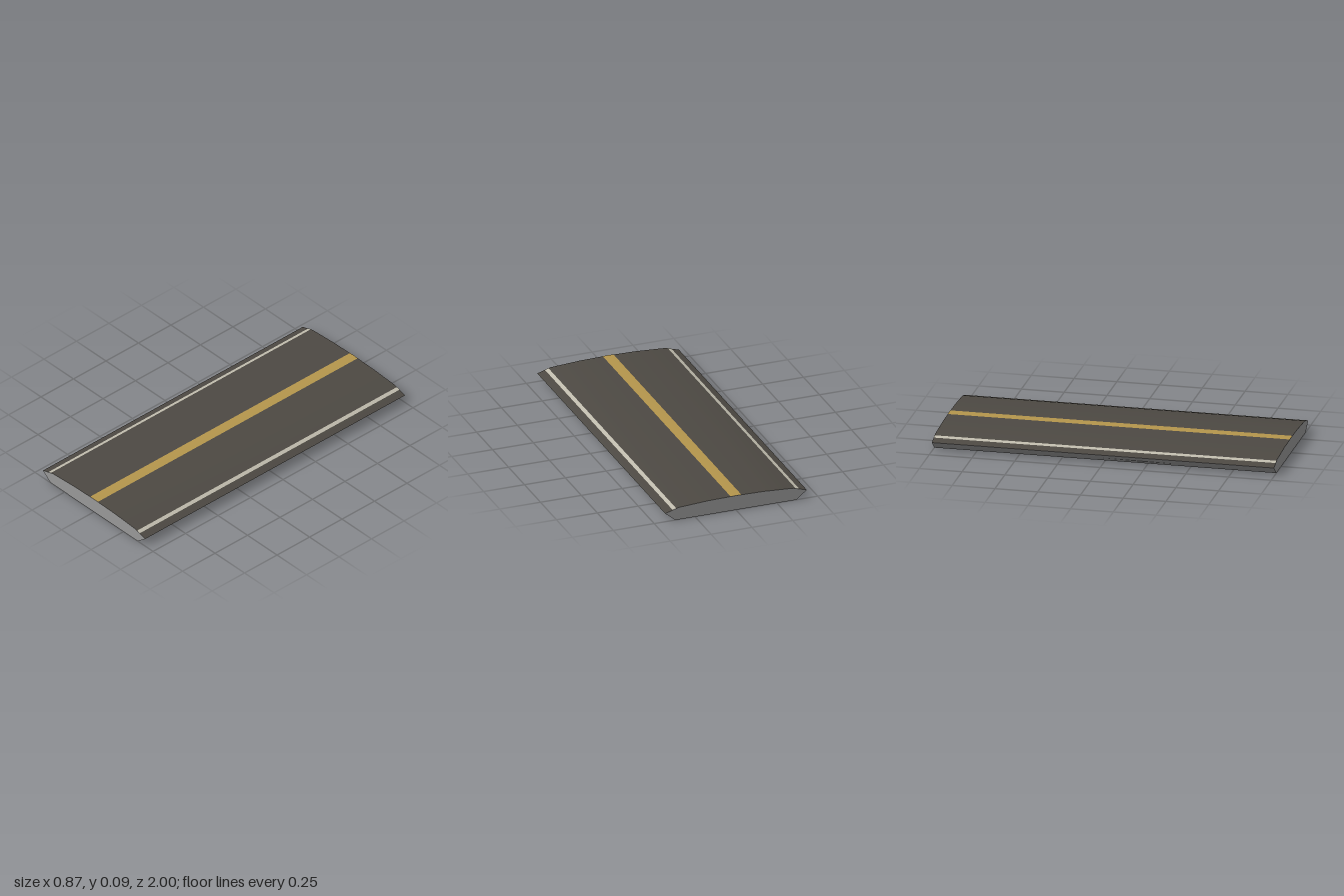
import * as THREE from 'three';

const HALF = 1; // half the road length

// Cambered road surface, left to right
const crown = [
  [-0.433, 0.051], [-0.35, 0.076], [-0.17, 0.087], [0, 0.09],
  [0.17, 0.087], [0.35, 0.076], [0.433, 0.051],
];
// Sloping sides and underside, right to left
const under = [[0.433, 0.051], [0.37, 0], [-0.37, 0], [-0.433, 0.051]];

const paint = (name, color) => {
  const m = new THREE.MeshStandardMaterial({ color });
  m.name = name;
  return m;
};

// Height of the road surface at x
function crownHeight(x) {
  const i = Math.max(1, crown.findIndex((p) => p[0] >= x));
  const [a, b] = [crown[i - 1], crown[i]];
  return a[1] + ((x - a[0]) / (b[0] - a[0])) * (b[1] - a[1]);
}

// Sweeps an open profile along z with smooth normals
function sweep(profile) {
  const pos = [], index = [];
  profile.forEach(([x, y], i) => {
    pos.push(x, y, HALF, x, y, -HALF);
    if (i === 0) return;
    const a = 2 * (i - 1), b = 2 * i;
    index.push(a, b, b + 1, a, b + 1, a + 1);
  });
  const g = new THREE.BufferGeometry();
  g.setAttribute('position', new THREE.Float32BufferAttribute(pos, 3));
  g.setIndex(index);
  g.computeVertexNormals();
  return g;
}

export function createModel() {
  const road = new THREE.Group();
  road.name = 'roadSegment';

  const asphalt = paint('asphalt', 0x4d4943);
  const concrete = paint('concrete', 0x999999);
  const yellow = paint('yellowPaint', 0xb5964c);
  const white = paint('whitePaint', 0xc0bcad);

  const add = (name, geometry, material) => {
    const mesh = new THREE.Mesh(geometry, material);
    mesh.name = name;
    road.add(mesh);
    return mesh;
  };

  // Road body
  add('roadSurface', sweep(crown), asphalt);
  add('underside', sweep(under), concrete);

  // Flat ends
  const outline = [...crown, ...under.slice(1, 3)].map(([x, y]) => new THREE.Vector2(x, y));
  const endGeometry = new THREE.ShapeGeometry(new THREE.Shape(outline));
  add('frontEnd', endGeometry, concrete).position.z = HALF;
  const back = add('backEnd', endGeometry, concrete);
  back.position.z = -HALF;
  back.rotation.y = Math.PI;

  // Painted lines just above the surface
  const line = (name, xs, material) =>
    add(name, sweep(xs.map((x) => [x, crownHeight(x) + 0.0012])), material);
  line('centreLine', [-0.033, 0, 0.033], yellow);
  line('leftEdgeLine', [0.365, 0.387], white);
  line('rightEdgeLine', [-0.387, -0.365], white);

  return road;
}
